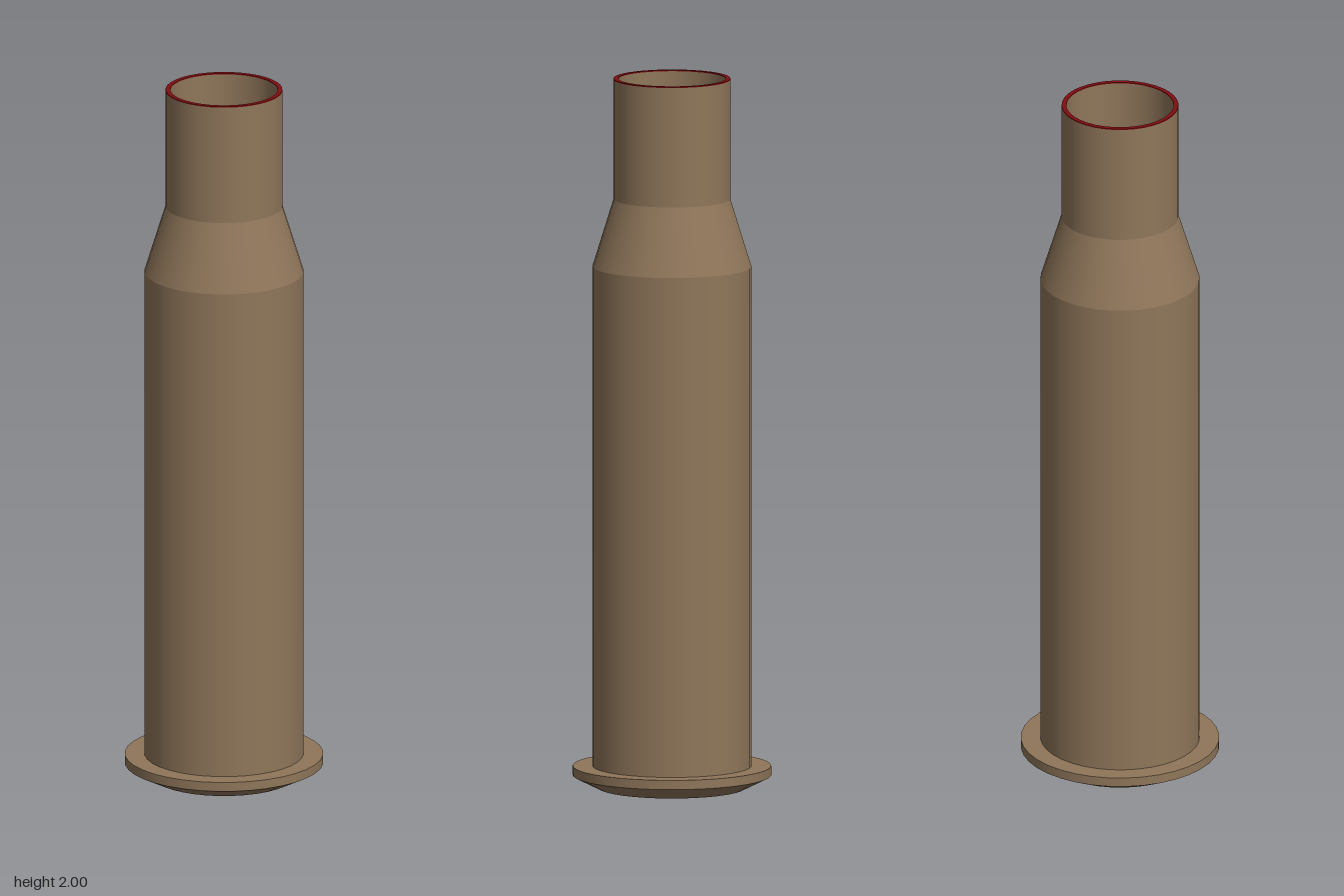
import * as THREE from 'three';

const SIDES = 36;

export function createModel() {
  const brass = new THREE.MeshStandardMaterial({ color: 0x8f765a });
  brass.name = 'brass';
  const red = new THREE.MeshStandardMaterial({ color: 0x800d10 });
  red.name = 'red lacquer';

  const model = new THREE.Group();
  model.name = 'cartridgeCase';

  // Turns each profile section on its own, so the edges between sections stay sharp.
  // Profiles run from the base up the outside, and down the inside.
  function turned(name, material, points) {
    const part = new THREE.Group();
    part.name = name;
    for (let i = 0; i < points.length - 1; i++) {
      const section = [points[i], points[i + 1]].map(([r, y]) => new THREE.Vector2(r, y));
      const mesh = new THREE.Mesh(new THREE.LatheGeometry(section, SIDES), material);
      mesh.name = name + 'Section';
      part.add(mesh);
    }
    model.add(part);
  }

  // Base: primer disc, red sealing groove, bevelled rim
  turned('primer', brass, [[0, 0.008], [0.1, 0.008]]);
  turned('primerSeal', red, [[0.1, 0.008], [0.105, 0.014], [0.125, 0.014]]);
  turned('rim', brass, [[0.125, 0.014], [0.125, 0], [0.205, 0], [0.277, 0.036], [0.277, 0.062], [0.222, 0.062]]);

  // Outer wall: body, shoulder and neck
  turned('body', brass, [[0.222, 0.062], [0.222, 1.47]]);
  turned('shoulder', brass, [[0.222, 1.47], [0.163, 1.66]]);
  turned('neck', brass, [[0.163, 1.66], [0.163, 1.997]]);

  // Red mouth edge
  turned('mouthSeal', red, [[0.163, 1.997], [0.163, 2], [0.15, 2], [0.15, 1.997]]);

  // Hollow inside, with a raised ring around the primer seat
  turned('innerWall', brass, [[0.15, 1.997], [0.15, 1.66], [0.208, 1.47], [0.208, 0.09], [0.14, 0.09], [0.126, 0.11]]);
  turned('innerSeal', red, [[0.126, 0.11], [0.112, 0.09], [0.1, 0.09]]);
  turned('innerFloor', brass, [[0.1, 0.09], [0, 0.09]]);

  return model;
}
